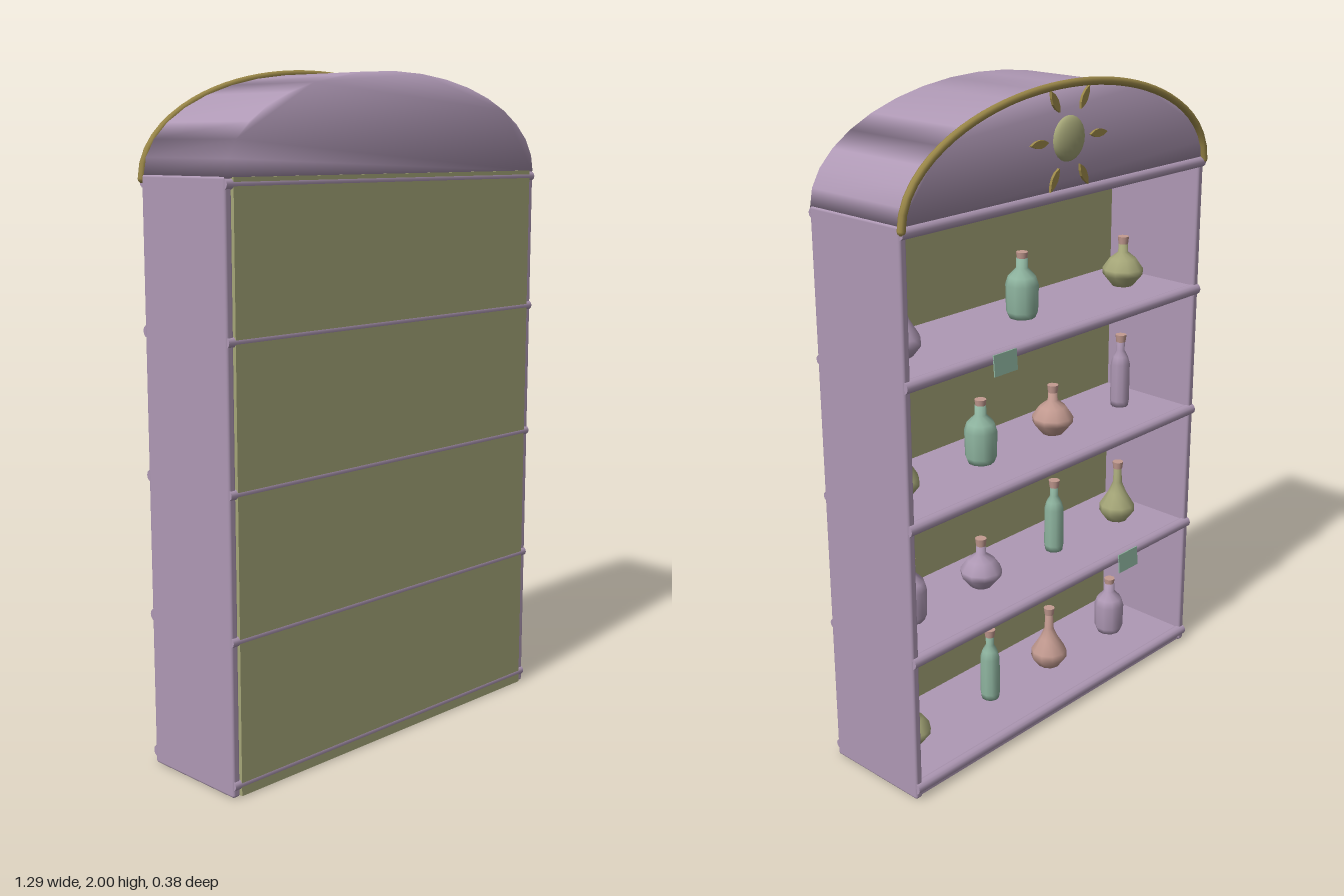
import * as THREE from 'three';
import { mergeVertices } from 'three/addons/utils/BufferGeometryUtils.js';
import { RoundedBoxGeometry } from 'three/addons/geometries/RoundedBoxGeometry.js';

const material = (name, color) => {
  const m = new THREE.MeshStandardMaterial({ color });
  m.name = name;
  return m;
};

export function createModel() {
  const lilac = material('lilac wood', 0xae98b4);
  const olive = material('olive panel', 0xa5a678);
  const gold = material('gold trim', 0x9a8748);
  const green = material('green glass', 0x8fb5a0);
  const pink = material('pink glass', 0xc29a90);

  const model = new THREE.Group();
  model.name = 'bottleShelf';
  const add = (name, geometry, mat, x = 0, y = 0, z = 0, parent = model) => {
    const mesh = new THREE.Mesh(geometry, mat);
    mesh.name = name;
    mesh.position.set(x, y, z);
    parent.add(mesh);
    return mesh;
  };

  const open = -0.165, closed = 0.183, depth = closed - open, midZ = (open + closed) / 2;

  // Side walls and the large closing panel
  for (const s of [-1, 1]) {
    add(s > 0 ? 'leftWall' : 'rightWall', new RoundedBoxGeometry(0.026, 1.7, depth, 2, 0.008), lilac, s * 0.626, 0.85, midZ);
  }
  add('backPanel', new THREE.BoxGeometry(1.225, 1.695, 0.012), olive, 0, 0.85, 0.183);

  // Shelves, each with a round bar along both long edges
  const shelfHeights = [0.035, 0.45, 0.86, 1.27, 1.68];
  for (const y of shelfHeights) {
    add('shelf', new THREE.BoxGeometry(1.24, 0.03, depth - 0.01), lilac, 0, y, midZ);
    for (const [z, r] of [[open + 0.007, 0.018], [0.176, 0.0145]]) {
      const bar = new THREE.CylinderGeometry(r, r, 1.272, 12);
      add('shelfEdgeBar', bar.rotateZ(Math.PI / 2), lilac, 0, y, z);
    }
  }
  add('floor', new THREE.BoxGeometry(1.23, 0.03, depth - 0.01), lilac, 0, 0.02, midZ);

  // Arched crest with soft shading across its edges
  const archPoint = (a, rx, ry, y0) => new THREE.Vector2(rx * Math.cos(a), y0 + ry * Math.sin(a));
  const archPoints = (rx, ry, y0, n = 18) =>
    Array.from({ length: n + 1 }, (_, i) => archPoint((i / n) * Math.PI, rx, ry, y0));
  let crest = new THREE.ExtrudeGeometry(new THREE.Shape(archPoints(0.636, 0.288, 1.695)), { depth, bevelEnabled: false });
  crest.deleteAttribute('normal');
  crest.deleteAttribute('uv');
  crest = mergeVertices(crest);
  crest.computeVertexNormals();
  add('crest', crest, lilac, 0, 0, open);

  // Gold moulding around the arch
  const path = new THREE.CatmullRomCurve3(
    archPoints(0.634, 0.298, 1.687).map((p) => new THREE.Vector3(p.x, p.y, open - 0.003)));
  add('archTrim', new THREE.TubeGeometry(path, 36, 0.0115, 8), gold);
  for (const s of [-1, 1]) add('archTrimEnd', new THREE.SphereGeometry(0.0115, 8, 6), gold, s * 0.634, 1.687, open - 0.003);

  // Sun ornament: domed disc with six leaf-shaped rays
  const sun = new THREE.Group();
  sun.name = 'sunOrnament';
  sun.position.set(0, 1.835, open);
  model.add(sun);
  add('sunDisc', new THREE.SphereGeometry(1, 20, 12).scale(0.064, 0.064, 0.024), olive, 0, 0, 0, sun);
  const leaf = new THREE.Shape();
  leaf.moveTo(0.088, 0);
  leaf.quadraticCurveTo(0.12, -0.024, 0.16, 0);
  leaf.quadraticCurveTo(0.12, 0.024, 0.088, 0);
  const ray = new THREE.ExtrudeGeometry(leaf, { depth: 0.008, bevelEnabled: false, curveSegments: 4 });
  for (let i = 0; i < 6; i++) {
    add('sunRay', ray, gold, 0, 0, -0.008, sun).rotation.z = (i * Math.PI) / 3;
  }

  // Bottle profiles as [radius, height]
  const profiles = {
    pear: [[0, 0], [0.036, 0], [0.059, 0.03], [0.058, 0.055], [0.03, 0.1], [0.015, 0.135], [0.013, 0.19], [0, 0.19]],
    jug: [[0, 0], [0.04, 0], [0.048, 0.02], [0.05, 0.1], [0.042, 0.125], [0.018, 0.15], [0.017, 0.18], [0, 0.18]],
    round: [[0, 0], [0.034, 0], [0.063, 0.035], [0.065, 0.055], [0.042, 0.088], [0.016, 0.108], [0.014, 0.14], [0, 0.14]],
    tall: [[0, 0], [0.028, 0], [0.031, 0.02], [0.031, 0.145], [0.024, 0.17], [0.013, 0.19], [0.013, 0.225], [0, 0.225]],
  };
  const bottle = (kind, mat, x, y) => {
    const group = new THREE.Group();
    group.name = kind + 'Bottle';
    group.position.set(x, y, 0.01);
    model.add(group);
    const points = profiles[kind].map(([r, h]) => new THREE.Vector2(r, h));
    const top = points[points.length - 1].y;
    add('glass', new THREE.LatheGeometry(points, 10), mat, 0, 0, 0, group);
    add('stopper', new THREE.CylinderGeometry(0.018, 0.015, 0.024, 10), pink, 0, top + 0.006, 0, group);
  };

  // Bottles on the four shelves, lowest first
  const rows = [
    [['round', olive, 0.5], ['tall', green, 0.15], ['pear', pink, -0.13], ['jug', lilac, -0.44]],
    [['jug', lilac, 0.48], ['round', lilac, 0.185], ['tall', green, -0.15], ['pear', olive, -0.47]],
    [['pear', olive, 0.51], ['jug', green, 0.18], ['round', pink, -0.14], ['tall', lilac, -0.47]],
    [['pear', lilac, 0.49], ['jug', green, 0], ['round', olive, -0.47]],
  ];
  rows.forEach((row, i) => row.forEach(([kind, mat, x]) => bottle(kind, mat, x, shelfHeights[i] + 0.015)));

  // Small label plates hung on two shelf edges
  for (const [x, y] of [[0.27, 1.253], [-0.3, 0.435]]) {
    add('labelPlate', new THREE.BoxGeometry(0.092, 0.062, 0.004), green, x, y, open - 0.013).rotation.x = 0.08;
  }

  return model;
}
